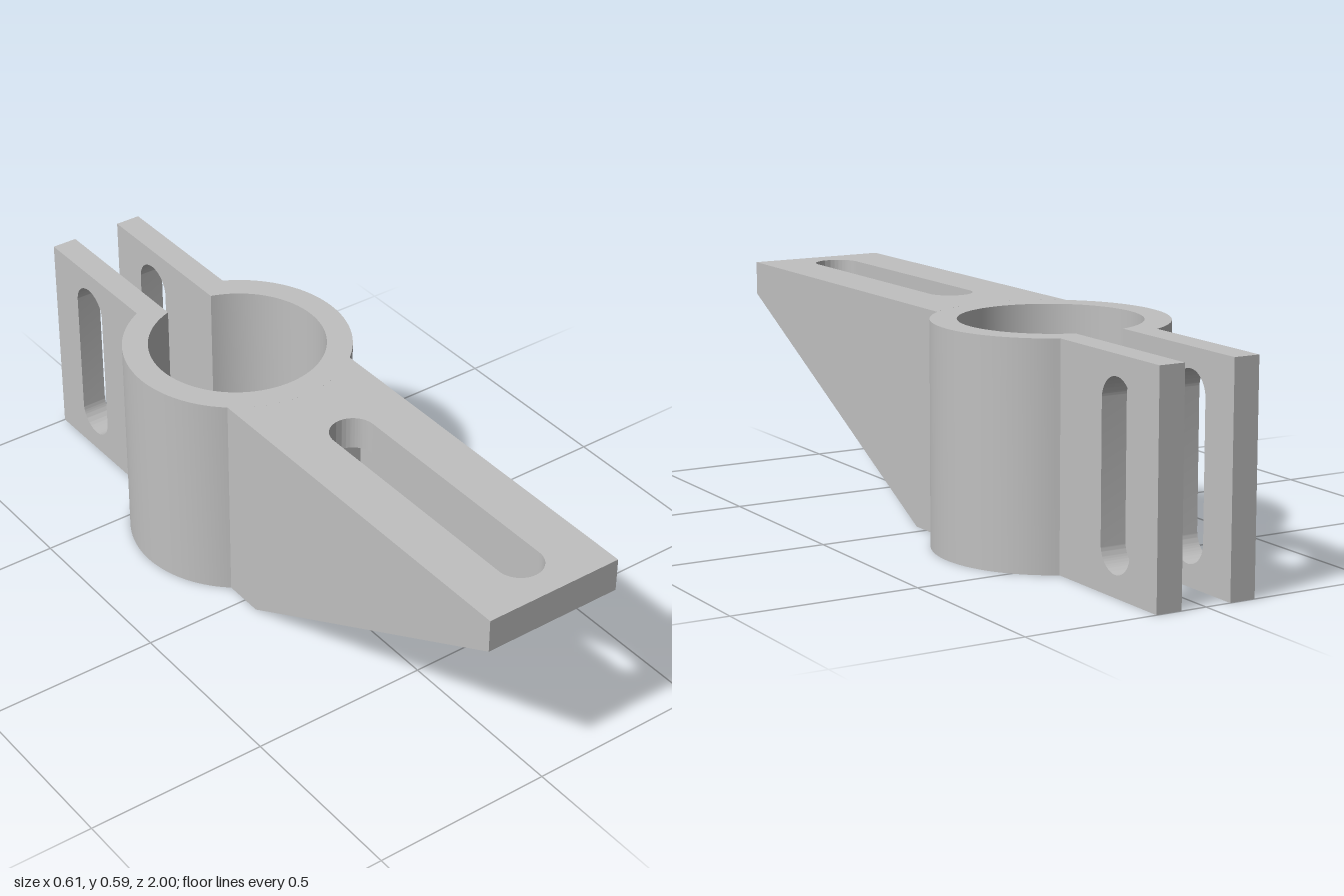
import * as THREE from 'three';
import { toCreasedNormals } from 'three/addons/utils/BufferGeometryUtils.js';

const H = 0.592;                                 // overall height
const C = 0.302, R_OUT = 0.307, R_IN = 0.238;    // ring centre (at z = -C) and radii
const ARM = 0.196, WALL = 0.048, PLATE_Y = 0.5, HEEL = 0.05;
const GAP = 0.07, TAB = 0.141;                   // clamp tabs: inner and outer x

// Rounded slot, long in the shape's y direction
function slot(x, y0, y1, r) {
  const p = new THREE.Path();
  p.absarc(x, y1 - r, r, 0, Math.PI, false);
  p.absarc(x, y0 + r, r, Math.PI, Math.PI * 2, false);
  p.closePath();
  return p;
}

function extrude(shape, depth) {
  return new THREE.ExtrudeGeometry(shape, { depth, bevelEnabled: false, curveSegments: 48 });
}

// Plan outline (x, -z) raised from y0 to y1
function raise(shape, y0, y1) {
  const g = extrude(shape, y1 - y0).rotateX(-Math.PI / 2).translate(0, y0, 0);
  return toCreasedNormals(g, 0.5);
}

// Side outline (z, y) spanning x0 to x1
function span(shape, x0, x1) {
  const g = extrude(shape, x1 - x0).rotateY(-Math.PI / 2).translate(x1, 0, 0);
  return toCreasedNormals(g, 0.5);
}

function polygon(points) {
  return new THREE.Shape(points.map(([x, y]) => new THREE.Vector2(x, y)));
}

// Arm plan from the ring's curve forward to z = front
function armPlan(front) {
  const a = Math.acos(ARM / R_OUT);
  const s = new THREE.Shape();
  s.absarc(0, C, R_OUT, -Math.PI + a, -a, false);
  s.lineTo(ARM, -front);
  s.lineTo(-ARM, -front);
  s.closePath();
  return s;
}

export function createModel() {
  const model = new THREE.Group();
  model.name = 'clampBracket';
  const grey = new THREE.MeshStandardMaterial({ color: 0xc0c0c0 });
  grey.name = 'lightGrey';
  const add = (name, geometry) => {
    const mesh = new THREE.Mesh(geometry, grey);
    mesh.name = name;
    model.add(mesh);
  };

  // Split ring, open at the back
  const a = Math.acos(TAB / R_OUT), b = Math.acos(GAP / R_IN);
  const tabStart = C + R_OUT * Math.sin(a);
  const ring = new THREE.Shape();
  ring.absarc(0, C, R_OUT, a, Math.PI - a, true);
  ring.lineTo(-GAP, tabStart);
  ring.absarc(0, C, R_IN, Math.PI - b, b, false);
  ring.lineTo(GAP, tabStart);
  ring.closePath();
  add('clampRing', raise(ring, 0, H));

  // Slotted top plate of the arm and the solid heel under it
  const plate = armPlan(1);
  plate.holes.push(slot(0, -0.93, -0.15, 0.062));
  add('armTopPlate', raise(plate, PLATE_Y, H));
  add('armHeel', raise(armPlan(HEEL), 0, PLATE_Y));

  for (const [side, sign] of [['left', 1], ['right', -1]]) {
    const place = (shape, x0, x1) => sign > 0 ? span(shape, x0, x1) : span(shape, -x1, -x0);

    // Tapered side wall under the plate
    const web = polygon([[HEEL, 0], [1, PLATE_Y], [HEEL, PLATE_Y]]);
    add(side + 'SideWall', place(web, ARM - WALL, ARM));

    // Clamp tab with upright bolt slot
    const tab = polygon([[-1, 0], [-tabStart, 0], [-tabStart, H], [-1, H]]);
    tab.holes.push(slot(-0.822, 0.057, 0.538, 0.063));
    add(side + 'ClampTab', place(tab, GAP, TAB));
  }
  return model;
}
